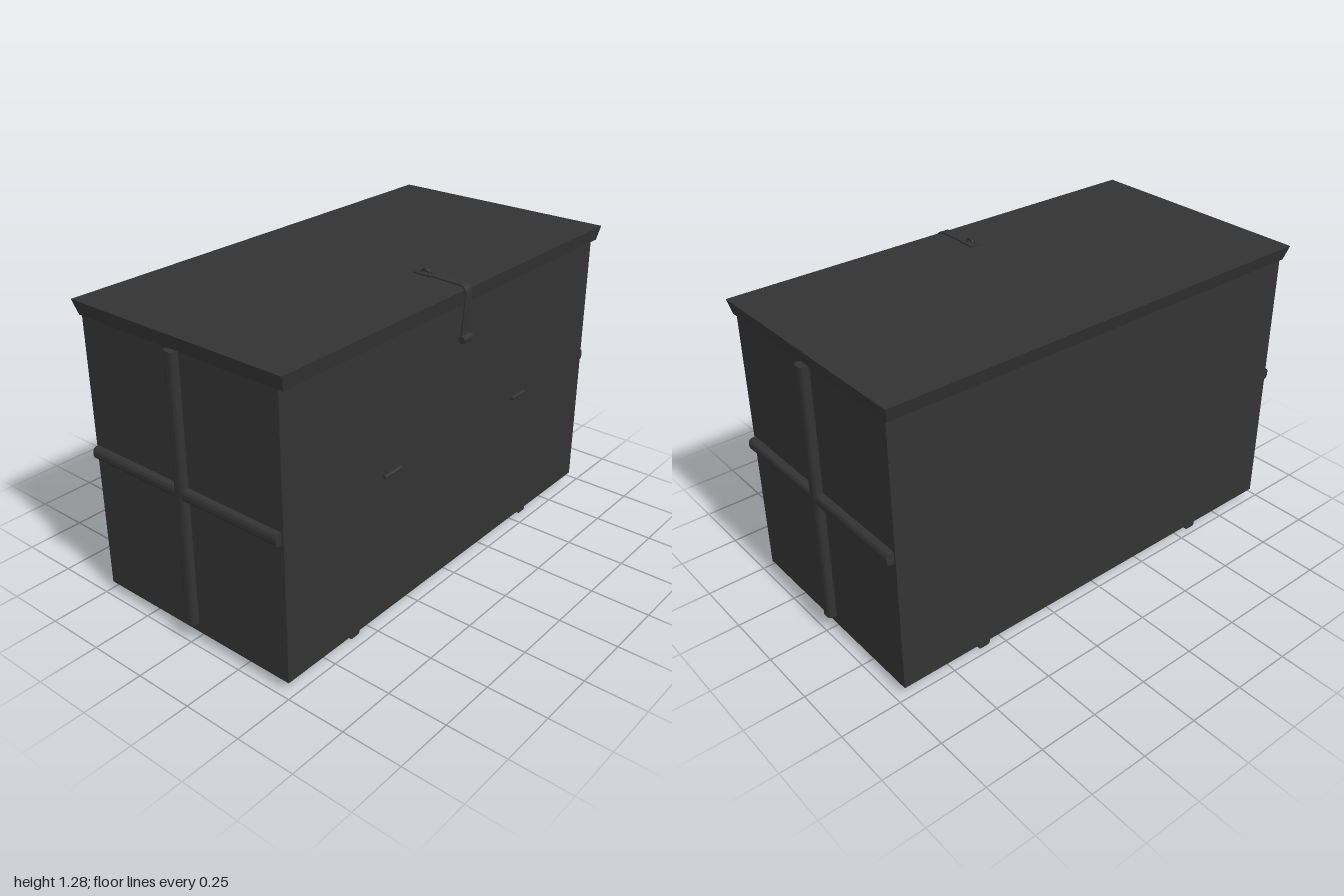
import * as THREE from 'three';
import { toCreasedNormals } from 'three/addons/utils/BufferGeometryUtils.js';

const dark = new THREE.MeshStandardMaterial({ color: 0x333333, side: THREE.DoubleSide });

function add(parent, name, geometry, x = 0, y = 0, z = 0) {
  const mesh = new THREE.Mesh(geometry, dark);
  mesh.name = name;
  mesh.position.set(x, y, z);
  parent.add(mesh);
  return mesh;
}

// Rounded bar lying on a surface: "out" is the direction it stands proud, "along" its length
function addBar(parent, name, { width, depth, round, length, center, out, along }) {
  const h = width / 2;
  const s = new THREE.Shape();
  s.moveTo(-h, 0);
  s.lineTo(h, 0);
  s.lineTo(h, depth - round);
  s.quadraticCurveTo(h, depth, h - round, depth);
  s.lineTo(-h + round, depth);
  s.quadraticCurveTo(-h, depth, -h, depth - round);
  s.closePath();
  const geo = new THREE.ExtrudeGeometry(s, { depth: length, bevelEnabled: false, curveSegments: 5 });
  geo.translate(0, 0, -length / 2);
  const across = new THREE.Vector3().crossVectors(out, along);
  geo.applyMatrix4(new THREE.Matrix4().makeBasis(across, out, along));
  add(parent, name, toCreasedNormals(geo, 0.7), ...center);
}

// Flat-topped lid whose sides slope outwards towards the top
function lidGeometry() {
  const geo = new THREE.BoxGeometry(1, 1, 1);
  const p = geo.attributes.position;
  for (let i = 0; i < p.count; i++) {
    const top = p.getY(i) > 0;
    const x = p.getX(i) > 0 ? (top ? 0.985 : 0.97) : (top ? -0.988 : -0.973);
    const z = p.getZ(i) > 0 ? (top ? 0.508 : 0.497) : (top ? -0.518 : -0.5);
    p.setXYZ(i, x, top ? 1.248 : 1.188, z);
  }
  geo.computeVertexNormals();
  return geo;
}

// Thin ribbon following a path of (z, y) points, extruded across x
function ribbonGeometry(points, width, thickness) {
  const curve = new THREE.CurvePath();
  const [a, b, corner, c, d] = points.map(([z, y]) => new THREE.Vector2(z, y));
  curve.add(new THREE.LineCurve(a, b));
  curve.add(new THREE.QuadraticBezierCurve(b, corner, c));
  curve.add(new THREE.LineCurve(c, d));
  const path = curve.getPoints(8);
  const offset = (side) => path.map((pt, i) => {
    const t = path[Math.min(i + 1, path.length - 1)].clone().sub(path[Math.max(i - 1, 0)]).normalize();
    return new THREE.Vector2(pt.x - t.y * side, pt.y + t.x * side);
  });
  const outline = [...offset(thickness / 2), ...offset(-thickness / 2).reverse()];
  const geo = new THREE.ExtrudeGeometry(new THREE.Shape(outline), { depth: width, bevelEnabled: false });
  geo.translate(0, 0, -width / 2);
  geo.rotateY(-Math.PI / 2);
  return toCreasedNormals(geo, 0.7);
}

function rectangle(Type, hw, y0, y1) {
  return new Type([[-hw, y0], [hw, y0], [hw, y1], [-hw, y1]].map(([x, y]) => new THREE.Vector2(x, y)));
}

export function createModel() {
  const model = new THREE.Group();
  model.name = 'chest';
  const X = new THREE.Vector3(1, 0, 0), Y = new THREE.Vector3(0, 1, 0), Z = new THREE.Vector3(0, 0, 1);

  add(model, 'body', new THREE.BoxGeometry(1.938, 1.15, 0.962), -0.002, 0.615, -0.006);
  add(model, 'lid', lidGeometry());

  for (const side of [-1, 1]) {
    // Crossed battens on each end
    const out = X.clone().multiplyScalar(side);
    addBar(model, 'verticalBatten', {
      width: 0.053, depth: 0.04, round: 0.02, length: 1.11,
      center: [side * 0.96, 0.635, -0.007], out, along: Y,
    });
    addBar(model, 'horizontalBatten', {
      width: 0.05, depth: 0.038, round: 0.02, length: 0.945,
      center: [side * 0.96, 0.64, -0.007], out, along: Z,
    });
    // Runners under the floor
    addBar(model, 'runner', {
      width: 0.053, depth: 0.05, round: 0.012, length: 0.925,
      center: [side * 0.583, 0.05, -0.008], out: Y.clone().negate(), along: Z,
    });
    // Small rods in front of the body
    const rod = new THREE.CylinderGeometry(0.008, 0.008, 0.095, 10);
    rod.rotateZ(Math.PI / 2);
    add(model, 'frontRod', rod, side * 0.417, 0.659, 0.495);
  }

  // Latch strap folding over the front edge of the lid
  const latch = new THREE.Group();
  latch.name = 'latch';
  model.add(latch);
  add(latch, 'strap', ribbonGeometry(
    [[0.345, 1.264], [0.475, 1.26], [0.511, 1.26], [0.51, 1.225], [0.496, 1.05]], 0.038, 0.006));
  const roller = new THREE.CylinderGeometry(0.015, 0.015, 0.054, 14);
  roller.rotateZ(Math.PI / 2);
  add(latch, 'roller', roller, -0.001, 1.052, 0.506);

  // Slotted plate at the end of the strap, with a staple through the slot
  const plate = rectangle(THREE.Shape, 0.026, 0.275, 0.35);
  plate.holes.push(rectangle(THREE.Path, 0.012, 0.29, 0.338));
  const plateGeo = new THREE.ExtrudeGeometry(plate, { depth: 0.006, bevelEnabled: false });
  plateGeo.rotateX(Math.PI / 2);
  add(latch, 'plate', plateGeo, 0, 1.268, 0);
  const staple = new THREE.TorusGeometry(0.017, 0.004, 8, 14, Math.PI);
  staple.rotateY(Math.PI / 2);
  add(latch, 'staple', staple, 0, 1.264, 0.315);
  for (const dz of [-0.017, 0.017]) {
    add(latch, 'stapleLeg', new THREE.CylinderGeometry(0.004, 0.004, 0.02, 8), 0, 1.255, 0.315 + dz);
  }
  return model;
}
